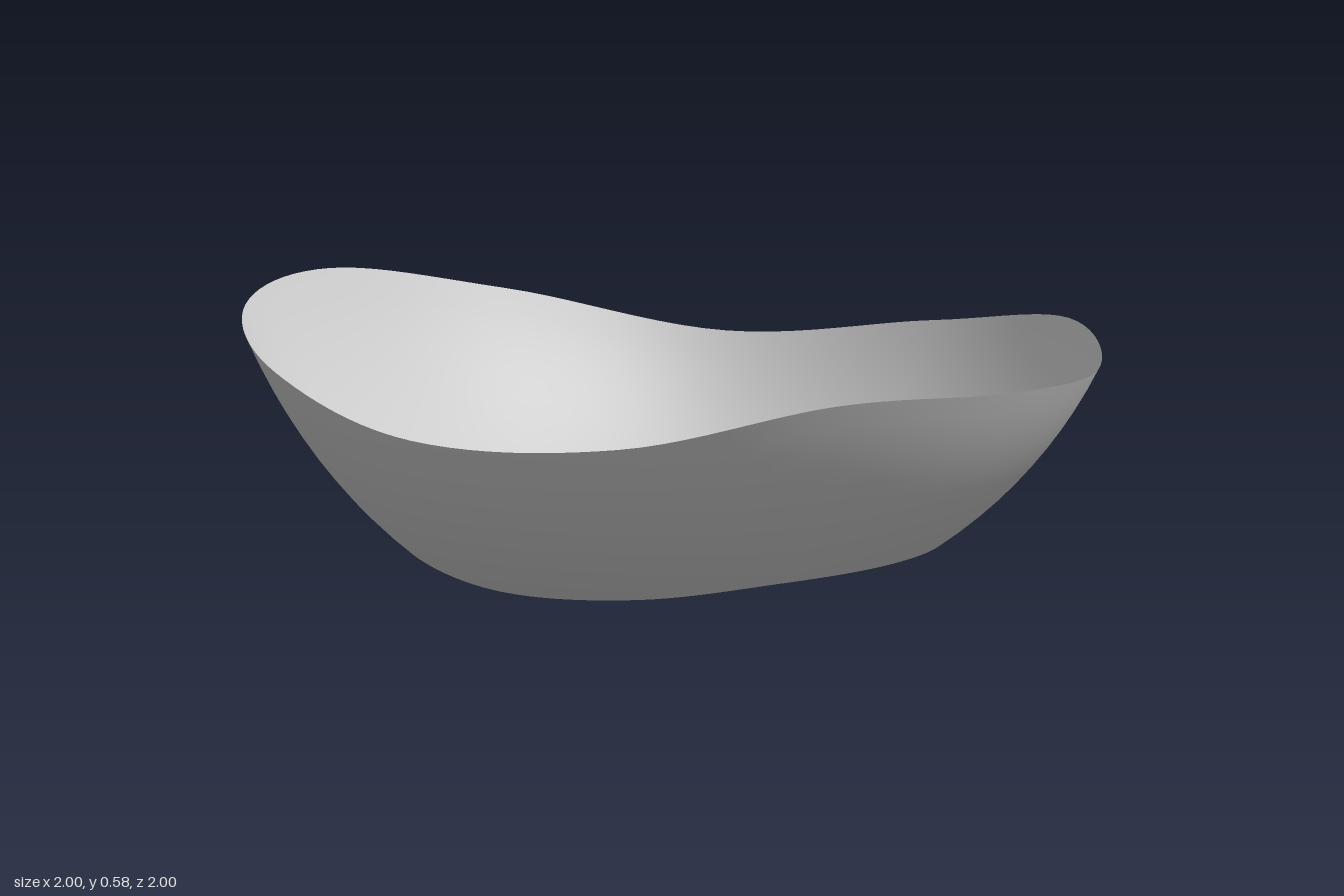
import * as THREE from 'three';

const INNER = 0.64, OUTER = 1;

// Rim heights every 30 degrees, from the front (+z) towards the left (+x)
const topHeights = [0.466, 0.555, 0.522, 0.48, 0.495, 0.405, 0.34, 0.455, 0.568, 0.58, 0.525, 0.447];
const bottomHeights = [0.036, 0.065, 0.07, 0.063, 0.055, 0.018, 0.002, 0.035, 0.073, 0.08, 0.055, 0.028];

// Smooth periodic interpolation of a rim, u in 0..1
function rimHeight(h, u) {
  const n = h.length, i = Math.floor(u * n), t = u * n - i;
  const [a, b, c, d] = [-1, 0, 1, 2].map((k) => h[(i + k + n) % n]);
  return b + 0.5 * t * (c - a + t * (2 * a - 5 * b + 4 * c - d + t * (3 * (b - c) + d - a)));
}

// Closed band: wavy rims joined by a slightly bulging wall
function bandGeometry(around = 120, up = 10) {
  const positions = [], indices = [];
  for (let i = 0; i < around; i++) {
    const u = i / around, a = u * Math.PI * 2;
    const low = rimHeight(bottomHeights, u), high = rimHeight(topHeights, u);
    for (let j = 0; j <= up; j++) {
      const t = j / up, bulge = 0.1 * t * (1 - t);
      const r = INNER + (OUTER - INNER) * t + bulge;
      positions.push(r * Math.sin(a), low + (high - low) * t - bulge, r * Math.cos(a));
      if (j < up) {
        const p = i * (up + 1) + j, q = ((i + 1) % around) * (up + 1) + j;
        indices.push(p, q, q + 1, p, q + 1, p + 1);
      }
    }
  }
  const geometry = new THREE.BufferGeometry();
  geometry.setAttribute('position', new THREE.Float32BufferAttribute(positions, 3));
  geometry.setIndex(indices);
  geometry.computeVertexNormals();
  return geometry;
}

export function createModel() {
  const group = new THREE.Group();
  const material = new THREE.MeshStandardMaterial({ color: 0xcccccc, side: THREE.DoubleSide });
  const band = new THREE.Mesh(bandGeometry(), material);
  band.name = 'wavyBand';
  group.add(band);
  return group;
}
